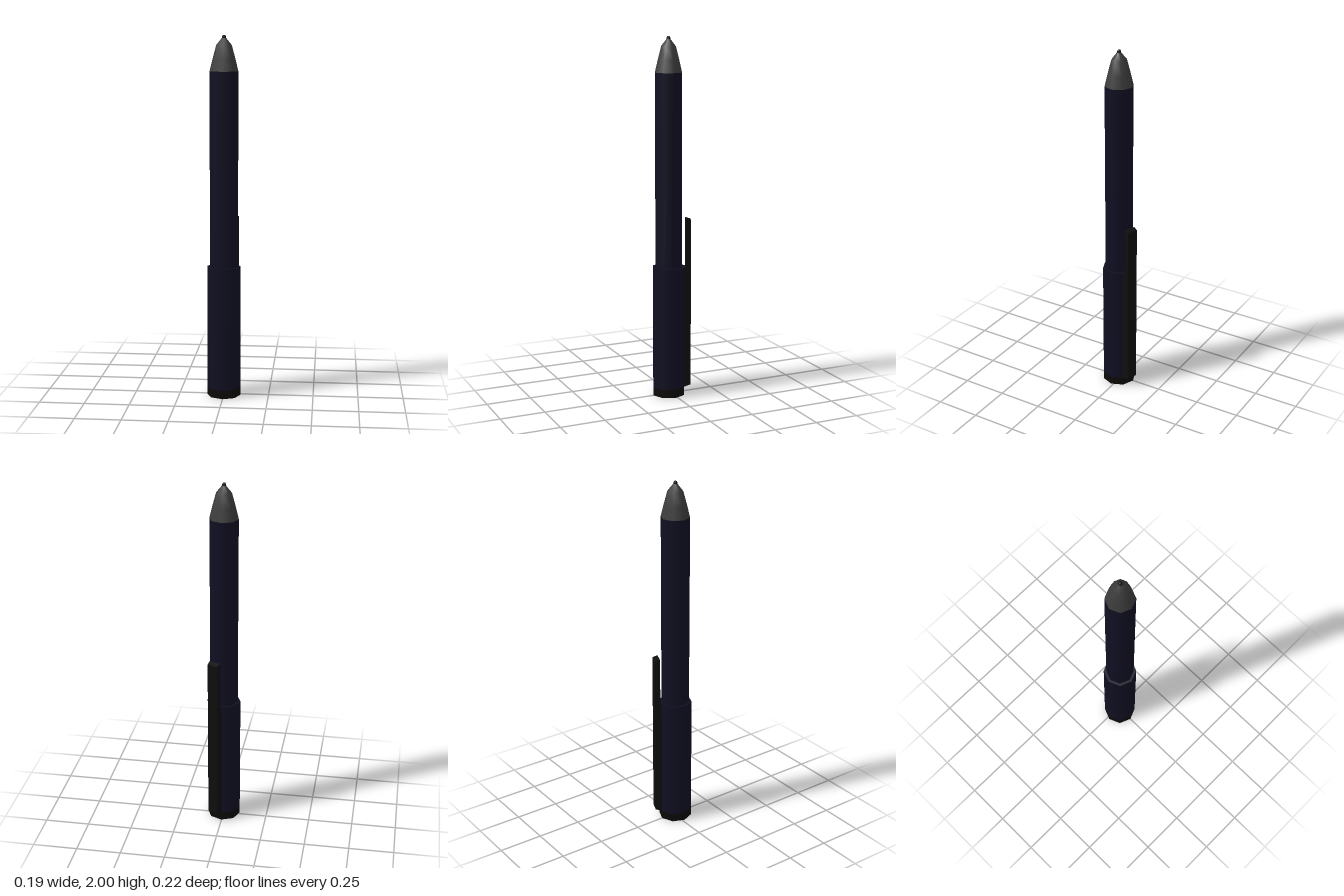
import * as THREE from 'three';

const SIDES = 8;
const material = (color) => new THREE.MeshStandardMaterial({ color });

export function createModel() {
  const pen = new THREE.Group();
  pen.name = 'pen';
  const axis = new THREE.Group();
  axis.name = 'penBody';
  axis.position.z = 0.014;
  pen.add(axis);

  const navy = material(0x100f22);
  const black = material(0x0e0e0e);
  const plug = material(0x0c0a08);
  const grey = material(0x3c3c3c);

  const add = (name, geometry, mat, parent = axis) => {
    const mesh = new THREE.Mesh(geometry, mat);
    mesh.name = name;
    parent.add(mesh);
    return mesh;
  };

  // Eight-sided section between two heights
  const section = (name, radius, y0, y1, mat) => {
    const g = new THREE.CylinderGeometry(radius, radius, y1 - y0, SIDES);
    add(name, g.translate(0, (y0 + y1) / 2, 0), mat);
  };
  section('endPlug', 0.093, 0, 0.047, plug);
  section('cap', 0.093, 0.047, 0.735, navy);
  section('barrel', 0.078, 0.735, 1.806, navy);

  // Tapered nose, then the writing point
  const lathe = (points) =>
    new THREE.LatheGeometry(points.map(([r, y]) => new THREE.Vector2(r, y)), SIDES);
  add('noseCone', lathe([[0.078, 1.806], [0.062, 1.872], [0.042, 1.946], [0.011, 1.984]]), grey);
  add('writingPoint', lathe([[0.011, 1.98], [0.011, 1.99], [0.007, 1.998], [0, 2]]), black);

  // Clip on one flat of the cap, narrowing outward
  const clip = new THREE.Group();
  clip.name = 'clip';
  clip.rotation.y = Math.PI - Math.PI / SIDES;
  axis.add(clip);
  const INNER = 0.0855, OUTER = 0.1225;
  const clipBar = (name, inner, y0, y1, bevel0, bevel1) => {
    const g = new THREE.BoxGeometry(1, 1, 1);
    const p = g.attributes.position;
    for (let i = 0; i < p.count; i++) {
      const outside = p.getZ(i) > 0;
      const z = outside ? OUTER : inner;
      const half = THREE.MathUtils.mapLinear(z, INNER, OUTER, 0.0357, 0.0297);
      const y = p.getY(i) < 0 ? y0 + (outside ? bevel0 : 0) : y1 - (outside ? bevel1 : 0);
      p.setXYZ(i, Math.sign(p.getX(i)) * half, y, z);
    }
    g.computeVertexNormals();
    add(name, g, black, clip);
  };
  clipBar('clipBase', INNER, 0.048, 0.735, 0.012, 0);
  clipBar('clipArm', 0.0935, 0.735, 1.008, 0, 0.008);

  return pen;
}
